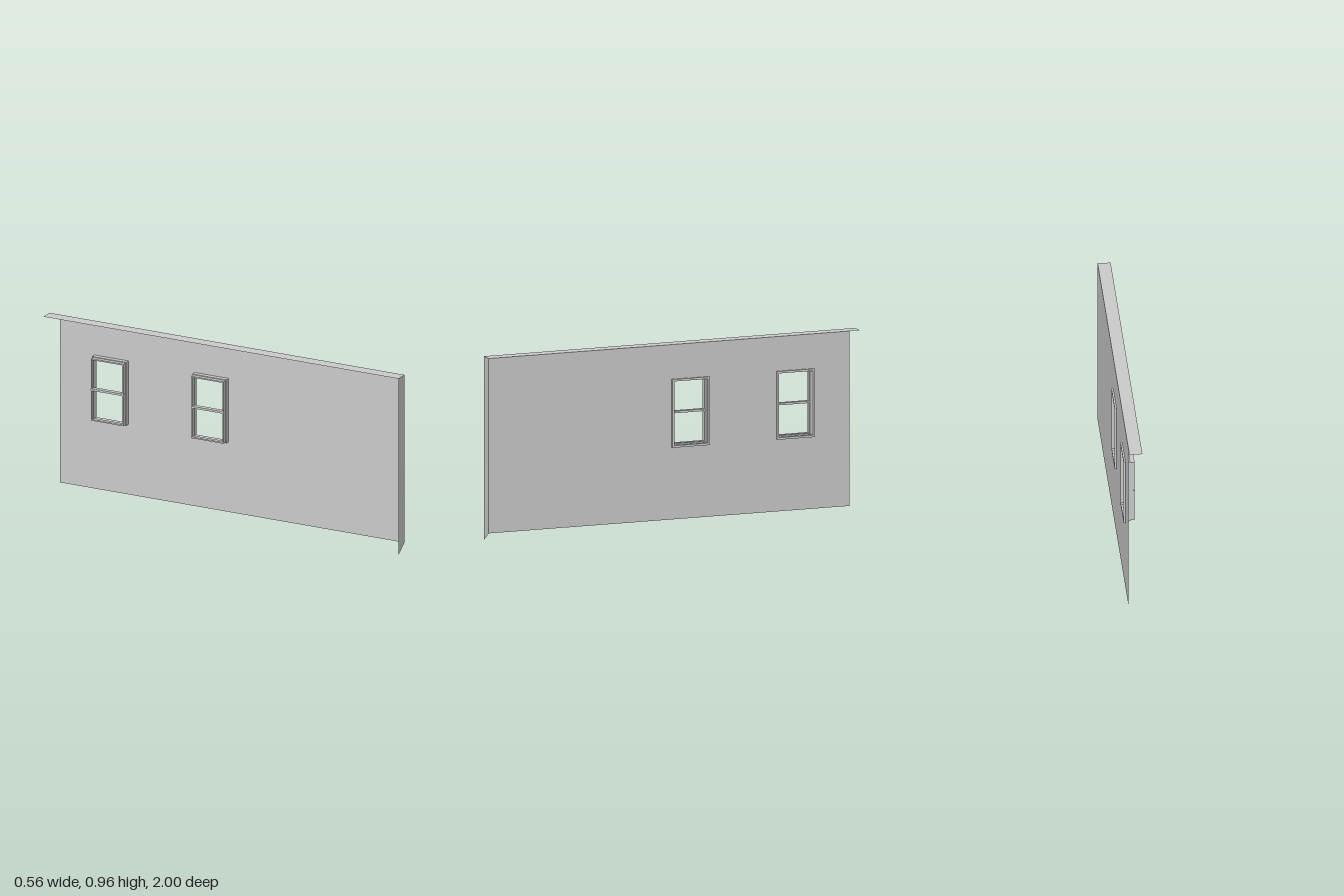
import * as THREE from 'three';

const LENGTH = 2.044, THICK = 0.067, BOTTOM = 0.047, TOP = 0.957;
const WALL_END = 1.985;
const WIN = { w: 0.207, y0: 0.421, y1: 0.777 };
const WINDOW_STARTS = [1.007, 1.584];

const grey = new THREE.MeshStandardMaterial({
  color: 0xcccccc, flatShading: true, side: THREE.DoubleSide,
});

function add(parent, name, geometry) {
  const mesh = new THREE.Mesh(geometry, grey);
  mesh.name = name;
  parent.add(mesh);
  return mesh;
}

function outline(Type, x0, y0, x1, y1) {
  const pts = [[x0, y0], [x1, y0], [x1, y1], [x0, y1]];
  return new Type(pts.map(([x, y]) => new THREE.Vector2(x, y)));
}

// Rectangular ring inset from the window opening, between depths z0 and z1
function ring(parent, name, inset, width, z0, z1) {
  const rect = (Type, d) => outline(Type, d, WIN.y0 + d, WIN.w - d, WIN.y1 - d);
  const shape = rect(THREE.Shape, inset);
  shape.holes.push(rect(THREE.Path, inset + width));
  const geometry = new THREE.ExtrudeGeometry(shape, { depth: z1 - z0, bevelEnabled: false });
  add(parent, name, geometry.translate(0, 0, z0));
}

function makeWindow(u) {
  const g = new THREE.Group();
  g.name = 'window';
  ring(g, 'outerTrim', 0, 0.011, 0, 0.009);
  ring(g, 'windowFrame', 0.006, 0.007, -0.026, 0);
  ring(g, 'innerSash', 0.01, 0.007, -0.048, -0.026);
  // Horizontal bar between upper and lower panes
  const bar = add(g, 'crossBar', new THREE.BoxGeometry(WIN.w - 0.018, 0.011, 0.025));
  bar.position.set(WIN.w / 2, 0.599, -0.036);
  g.position.x = u;
  return g;
}

export function createModel() {
  const model = new THREE.Group();
  model.name = 'wallWithWindows';

  // Local x runs along the wall to the back, local z points outward
  const wall = new THREE.Group();
  wall.name = 'wall';
  wall.position.set(0.278, 0, 0.984);
  wall.rotation.y = 1.8135;
  model.add(wall);

  // Outer wall sheet with the two openings
  const sheet = outline(THREE.Shape, 0, BOTTOM, WALL_END, TOP);
  for (const u of WINDOW_STARTS) {
    sheet.holes.push(outline(THREE.Path, u, WIN.y0, u + WIN.w, WIN.y1));
    wall.add(makeWindow(u));
  }
  add(wall, 'wallSheet', new THREE.ShapeGeometry(sheet));

  // Top strip, reaching past the back end of the sheet
  const top = add(wall, 'topStrip', new THREE.PlaneGeometry(LENGTH, THICK));
  top.rotation.x = -Math.PI / 2;
  top.position.set(LENGTH / 2, TOP, -THICK / 2);

  // Front end strip with a slanted bottom edge
  const end = new THREE.Shape([[0, BOTTOM], [0, TOP], [-THICK, TOP], [-THICK, 0]]
    .map(([x, y]) => new THREE.Vector2(x, y)));
  add(wall, 'endStrip', new THREE.ShapeGeometry(end)).rotation.y = -Math.PI / 2;

  return model;
}
